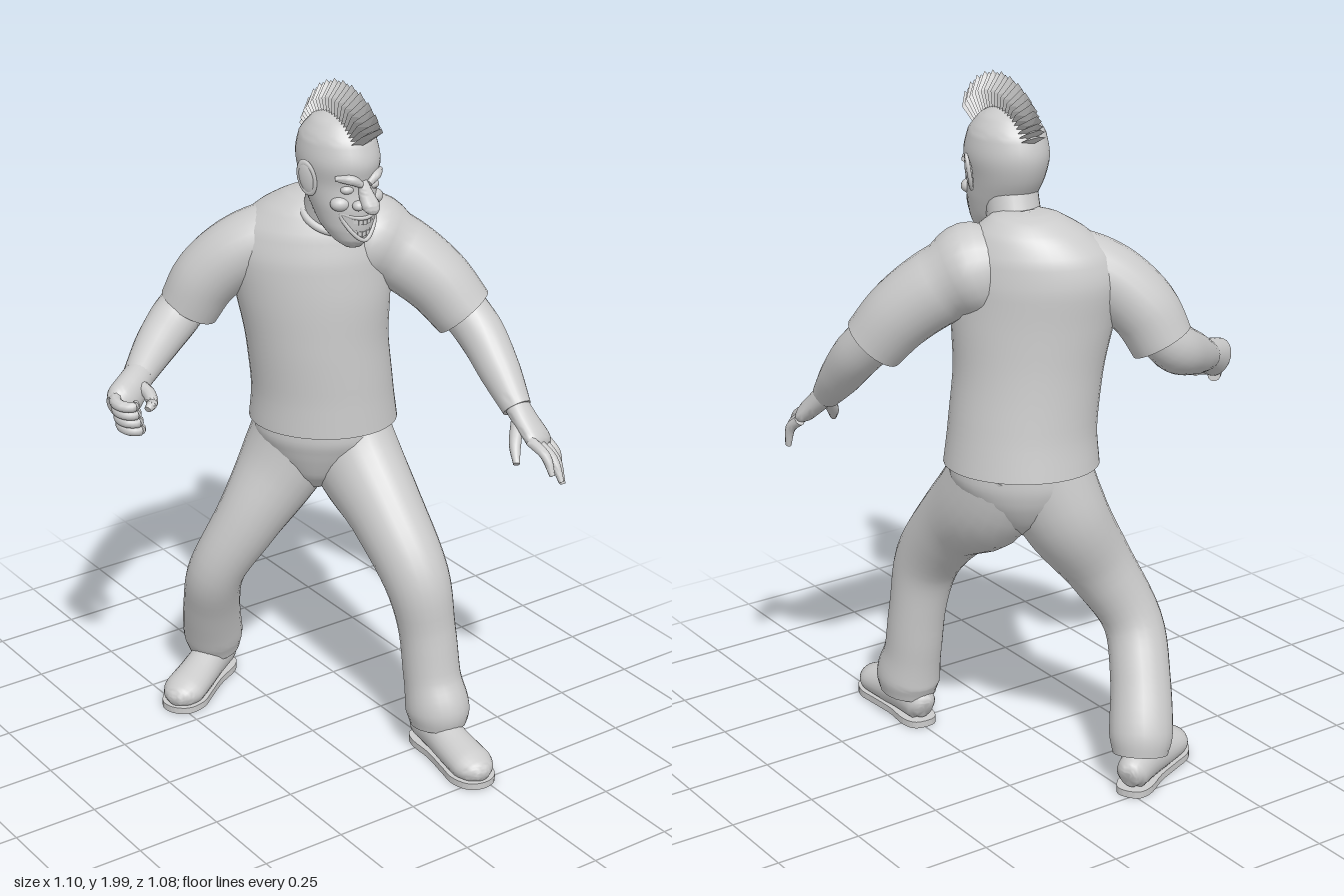
import * as THREE from 'three';
import { toCreasedNormals } from 'three/addons/utils/BufferGeometryUtils.js';

const V = (x, y, z) => new THREE.Vector3(x, y, z);
const grey = new THREE.MeshStandardMaterial({ color: 0xcccccc, side: THREE.DoubleSide });
const faceted = new THREE.MeshStandardMaterial({ color: 0xcccccc, flatShading: true });
const TURN = -0.72;                                   // torso is twisted to its right
const ACROSS = V(Math.cos(TURN), 0, -Math.sin(TURN)); // shoulder line
const UP = V(0, 1, 0);

function add(parent, name, geometry, material = grey) {
  const mesh = new THREE.Mesh(geometry, material);
  mesh.name = name;
  parent.add(mesh);
  return mesh;
}

// Closed skin over oval sections [x, y, z, radius along ref, other radius]
function loft(sections, { ref = V(1, 0, 0), axis = null, sides = 24, steps = 5, floor = null } = {}) {
  const path = new THREE.CatmullRomCurve3(sections.map(s => V(s[0], s[1], s[2])));
  const radii = new THREE.CatmullRomCurve3(sections.map(s => V(s[3], s[4] ?? s[3], 0)));
  const n = (sections.length - 1) * steps, pos = [], index = [];
  const ring = (c, t, ra, rb) => {
    const a = ref.clone().addScaledVector(t, -ref.dot(t)).normalize();
    const b = t.clone().cross(a);
    for (let j = 0; j < sides; j++) {
      const w = j / sides * Math.PI * 2;
      const p = c.clone().addScaledVector(a, Math.cos(w) * ra).addScaledVector(b, Math.sin(w) * rb);
      pos.push(p.x, floor === null ? p.y : Math.max(floor, p.y), p.z);
    }
  };
  for (let i = 0; i <= n; i++) {
    const c = path.getPoint(i / n), r = radii.getPoint(i / n);
    const t = axis ?? path.getTangent(i / n);
    if (i === 0) ring(c, t, 1e-4, 1e-4);
    ring(c, t, r.x, r.y);
    if (i === n) ring(c, t, 1e-4, 1e-4);
  }
  for (let i = 0; i < n + 2; i++) {
    for (let j = 0; j < sides; j++) {
      const a = i * sides + j, b = i * sides + (j + 1) % sides;
      index.push(a, b, a + sides, b, b + sides, a + sides);
    }
  }
  const g = new THREE.BufferGeometry();
  g.setAttribute('position', new THREE.Float32BufferAttribute(pos, 3));
  g.setIndex(index);
  return toCreasedNormals(g, 1.0);
}

// Finger: thin tapered loft ending in a rounded tip
function finger(parent, name, pts, r) {
  const last = pts.length - 1;
  add(parent, name, loft(pts.map((p, i) => [...p, r * (i === last ? 0.5 : 1 - 0.08 * i)]),
    { ref: V(0.8, 0.1, -0.59), sides: 10, steps: 4 }));
}

function ball(parent, name, x, y, z, sx, sy, sz) {
  const m = add(parent, name, new THREE.SphereGeometry(1, 20, 14));
  m.position.set(x, y, z);
  m.scale.set(sx, sy, sz);
}

function makeHead() {
  const head = new THREE.Group();
  head.name = 'head';
  // Skull: height, half width, front z, back z
  const skull = [[1.54, 0.025, 0.065, 0.02], [1.56, 0.05, 0.083, -0.02], [1.6, 0.073, 0.094, -0.07],
    [1.66, 0.088, 0.1, -0.115], [1.72, 0.097, 0.092, -0.152], [1.78, 0.106, 0.103, -0.168],
    [1.84, 0.097, 0.085, -0.155], [1.885, 0.066, 0.045, -0.115], [1.906, 0.03, 0.0, -0.07], [1.91, 0.004, -0.03, -0.04]];
  add(head, 'skull', loft(skull.map(([y, w, f, b]) => [0, y, (f + b) / 2, w, (f - b) / 2]), { axis: UP, sides: 32 }));
  // Pointed nose
  add(head, 'nose', loft([[0, 1.735, 0.083, 0.014], [0, 1.705, 0.1, 0.02], [0, 1.678, 0.122, 0.026, 0.022],
    [0, 1.667, 0.14, 0.018, 0.014], [0, 1.665, 0.147, 0.006]], { sides: 14 }));
  for (const s of [-1, 1]) {
    ball(head, 'nostril', s * 0.024, 1.674, 0.1, 0.017, 0.014, 0.017);
    ball(head, 'eye', s * 0.041, 1.716, 0.072, 0.021, 0.013, 0.016);
    ball(head, 'cheek', s * 0.052, 1.675, 0.058, 0.032, 0.022, 0.026);
    add(head, 'brow', loft([[s * 0.012, 1.73, 0.098, 0.009], [s * 0.04, 1.747, 0.09, 0.014], [s * 0.075, 1.75, 0.062, 0.007]],
      { ref: UP, sides: 12 }));
    // Ear: cupped disc with a rim
    const ear = new THREE.Group();
    ear.name = 'ear';
    ball(ear, 'earShell', 0, 0, 0, 0.01, 0.05, 0.024);
    const rim = add(ear, 'earRim', new THREE.TorusGeometry(0.023, 0.006, 8, 24));
    rim.rotation.y = Math.PI / 2;
    rim.scale.y = 1.9;
    ear.position.set(s * 0.112, 1.738, -0.018);
    ear.rotation.set(-0.15, s * -0.5, s * -0.22);
    head.add(ear);
  }
  // Wide grin: lips follow the curve of the face, teeth between them
  const mouth = (x, y) => V(x, y + x * x * 9, 0.098 - x * x * 10);
  const lips = [[-0.058, 1.617], [-0.03, 1.63], [0, 1.634], [0.03, 1.63], [0.058, 1.617], [0.035, 1.585], [0, 1.57], [-0.035, 1.585]];
  add(head, 'lips', new THREE.TubeGeometry(new THREE.CatmullRomCurve3(lips.map(([x, y]) => mouth(x, y)), true), 48, 0.006, 8, true));
  for (let i = -3; i <= 3; i++) {
    for (const y of [1.621, 1.587]) {
      const tooth = add(head, 'tooth', new THREE.BoxGeometry(0.012, 0.013, 0.006));
      tooth.position.copy(mouth(i * 0.0128, y)).add(V(0, 0, y < 1.6 ? -0.006 : -0.002));
      tooth.rotation.y = i * 0.2;
    }
  }
  // Crest of thin pointed blades fanned over the skull
  const blade = new THREE.LatheGeometry([[0, -0.02], [0.032, -0.02], [0.036, 0.05], [0, 0.1]].map(p => new THREE.Vector2(...p)), 4);
  const count = 24;
  for (let i = 0; i < count; i++) {
    const k = i / (count - 1), w = THREE.MathUtils.degToRad(36 + 118 * k);
    const m = add(head, 'crestBlade', blade, faceted);
    m.position.set(0, 1.77 + Math.sin(w) * 0.13, -0.02 + Math.cos(w) * 0.13);
    m.rotation.x = Math.PI / 2 - w;
    m.scale.set(1, (1.02 - 0.38 * k * k) * (i % 2 ? 0.95 : 1), 0.25);
  }
  head.position.x = 0.105;
  return head;
}

// Shoe pointing along +z, with a flat sole
function makeShoe(x, z, turn) {
  const shoe = new THREE.Group();
  shoe.name = 'shoe';
  add(shoe, 'shoeUpper', loft([[0, 0.05, -0.165, 0.025, 0.03], [0, 0.06, -0.145, 0.045, 0.05], [0, 0.068, -0.06, 0.054, 0.06],
    [0, 0.055, 0.03, 0.06, 0.053], [0, 0.045, 0.11, 0.064, 0.046], [0, 0.04, 0.152, 0.047, 0.034], [0, 0.036, 0.172, 0.02, 0.016]], { floor: 0.015 }));
  const half = [[0.03, -0.167], [0.05, -0.13], [0.05, -0.04], [0.061, 0.05], [0.067, 0.11], [0.045, 0.163]];
  const outline = [...half, [0, 0.18], ...half.map(([a, b]) => [-a, b]).reverse()];
  const curve = new THREE.CatmullRomCurve3(outline.map(([a, b]) => V(a, -b, 0)), true);
  const sole = new THREE.Shape(curve.getPoints(48).map(p => new THREE.Vector2(p.x, p.y)));
  add(shoe, 'sole', new THREE.ExtrudeGeometry(sole, { depth: 0.02, bevelEnabled: false })).rotation.x = -Math.PI / 2;
  shoe.position.set(x, 0.008, z);
  shoe.rotation.y = turn;
  return shoe;
}

export function createModel() {
  const man = new THREE.Group();
  man.name = 'man';
  const body = { ref: ACROSS, axis: UP, sides: 40 };

  // Shirt, collar and neck
  add(man, 'shirt', loft([[0.15, 0.945, -0.165, 0.215, 0.185], [0.143, 1.05, -0.16, 0.205, 0.176], [0.125, 1.2, -0.16, 0.205, 0.17],
    [0.112, 1.35, -0.165, 0.222, 0.166], [0.105, 1.46, -0.175, 0.228, 0.162], [0.11, 1.54, -0.175, 0.205, 0.147],
    [0.12, 1.6, -0.165, 0.15, 0.12], [0.125, 1.635, -0.155, 0.095, 0.085], [0.125, 1.645, -0.15, 0.06, 0.055]], body));
  const collar = add(man, 'collar', new THREE.TorusGeometry(0.083, 0.011, 10, 36));
  collar.position.set(0.118, 1.597, -0.083);
  collar.rotation.x = Math.PI / 2 + 0.5;
  add(man, 'neck', loft([[0.118, 1.54, -0.11, 0.075], [0.113, 1.61, -0.08, 0.074], [0.105, 1.7, -0.05, 0.072]]));
  man.add(makeHead());

  // Sleeves and forearms
  const arm = { ref: V(0, 1, 0.2) };
  add(man, 'leftSleeve', loft([[0.12, 1.505, -0.165, 0.085], [0.21, 1.505, -0.115, 0.108], [0.305, 1.46, -0.05, 0.108],
    [0.4, 1.37, 0.03, 0.1], [0.458, 1.275, 0.09, 0.09]], arm));
  add(man, 'leftForearm', loft([[0.44, 1.32, 0.06, 0.07], [0.472, 1.23, 0.15, 0.068], [0.476, 1.14, 0.24, 0.059], [0.472, 1.06, 0.325, 0.042]], arm));
  add(man, 'rightSleeve', loft([[0.09, 1.5, -0.2, 0.085], [0.02, 1.495, -0.235, 0.102], [-0.06, 1.455, -0.285, 0.1],
    [-0.13, 1.375, -0.34, 0.096], [-0.167, 1.285, -0.375, 0.088]], arm));
  add(man, 'rightForearm', loft([[-0.15, 1.33, -0.365, 0.068], [-0.205, 1.265, -0.38, 0.07], [-0.3, 1.215, -0.335, 0.062], [-0.41, 1.165, -0.262, 0.044]], arm));

  // Open left hand
  const leftHand = new THREE.Group();
  leftHand.name = 'leftHand';
  man.add(leftHand);
  add(leftHand, 'palm', loft([[0.473, 1.075, 0.31, 0.038, 0.034], [0.478, 1.035, 0.355, 0.048, 0.031], [0.487, 0.99, 0.405, 0.056, 0.027], [0.49, 0.97, 0.42, 0.045, 0.016]],
    { ref: V(0.9, -0.25, -0.35) }));
  const tips = [[0.455, 0.925, 0.51], [0.485, 0.9, 0.515], [0.515, 0.875, 0.485], [0.54, 0.885, 0.435]];
  tips.forEach(([x, y, z], i) => {
    const k = [0.447 + i * 0.027, 1.0 - i * 0.009, 0.42 - i * 0.011];
    finger(leftHand, 'finger', [k, [(k[0] + x) / 2 + 0.004, (k[1] + y) / 2 + 0.012, (k[2] + z) / 2 + 0.012], [x, y, z]], 0.016);
  });
  finger(leftHand, 'thumb', [[0.455, 1.03, 0.35], [0.42, 0.985, 0.385], [0.395, 0.945, 0.425]], 0.019);

  // Right fist with curled fingers
  const fist = new THREE.Group();
  fist.name = 'rightHand';
  man.add(fist);
  add(fist, 'palm', loft([[-0.4, 1.17, -0.268, 0.042], [-0.44, 1.152, -0.24, 0.05, 0.045], [-0.49, 1.13, -0.21, 0.056, 0.044], [-0.518, 1.118, -0.195, 0.045, 0.03]],
    { ref: V(0.1, 1, -0.3) }));
  for (let i = 0; i < 4; i++) {
    const y = 1.153 - i * 0.025, o = i * 0.006;
    finger(fist, 'finger', [[-0.5 + o, y, -0.215], [-0.532 + o, y - 0.004, -0.18], [-0.528 + o, y - 0.008, -0.147],
      [-0.503 + o, y - 0.01, -0.132], [-0.485 + o, y - 0.01, -0.15]], 0.019);
  }
  finger(fist, 'thumb', [[-0.435, 1.16, -0.23], [-0.427, 1.15, -0.18], [-0.44, 1.135, -0.14], [-0.46, 1.125, -0.13]], 0.02);

  // Trousers: the thighs run up into the waist
  add(man, 'hips', loft([[0.15, 1.0, -0.165, 0.19, 0.16], [0.15, 0.92, -0.165, 0.2, 0.164], [0.148, 0.86, -0.17, 0.172, 0.15],
    [0.14, 0.79, -0.17, 0.11, 0.115], [0.13, 0.74, -0.165, 0.04, 0.06]], body));
  add(man, 'leftTrouserLeg', loft([[0.205, 0.98, -0.165, 0.115, 0.15], [0.209, 0.84, -0.095, 0.122, 0.153], [0.212, 0.7, 0.07, 0.109, 0.114], [0.225, 0.54, 0.2, 0.096],
    [0.242, 0.38, 0.233, 0.083], [0.246, 0.24, 0.255, 0.083, 0.085], [0.248, 0.15, 0.28, 0.091, 0.1], [0.248, 0.1, 0.285, 0.08, 0.088]]));
  add(man, 'rightTrouserLeg', loft([[0.125, 0.98, -0.2, 0.135, 0.14], [0.068, 0.8, -0.24, 0.125, 0.135], [-0.042, 0.62, -0.268, 0.099], [-0.12, 0.45, -0.325, 0.084],
    [-0.1, 0.31, -0.39, 0.085], [-0.062, 0.17, -0.447, 0.09], [-0.05, 0.11, -0.46, 0.078]]));

  // Shoes
  man.add(makeShoe(0.237, 0.36, -0.06), makeShoe(-0.13, -0.41, -1.05));
  return man;
}
